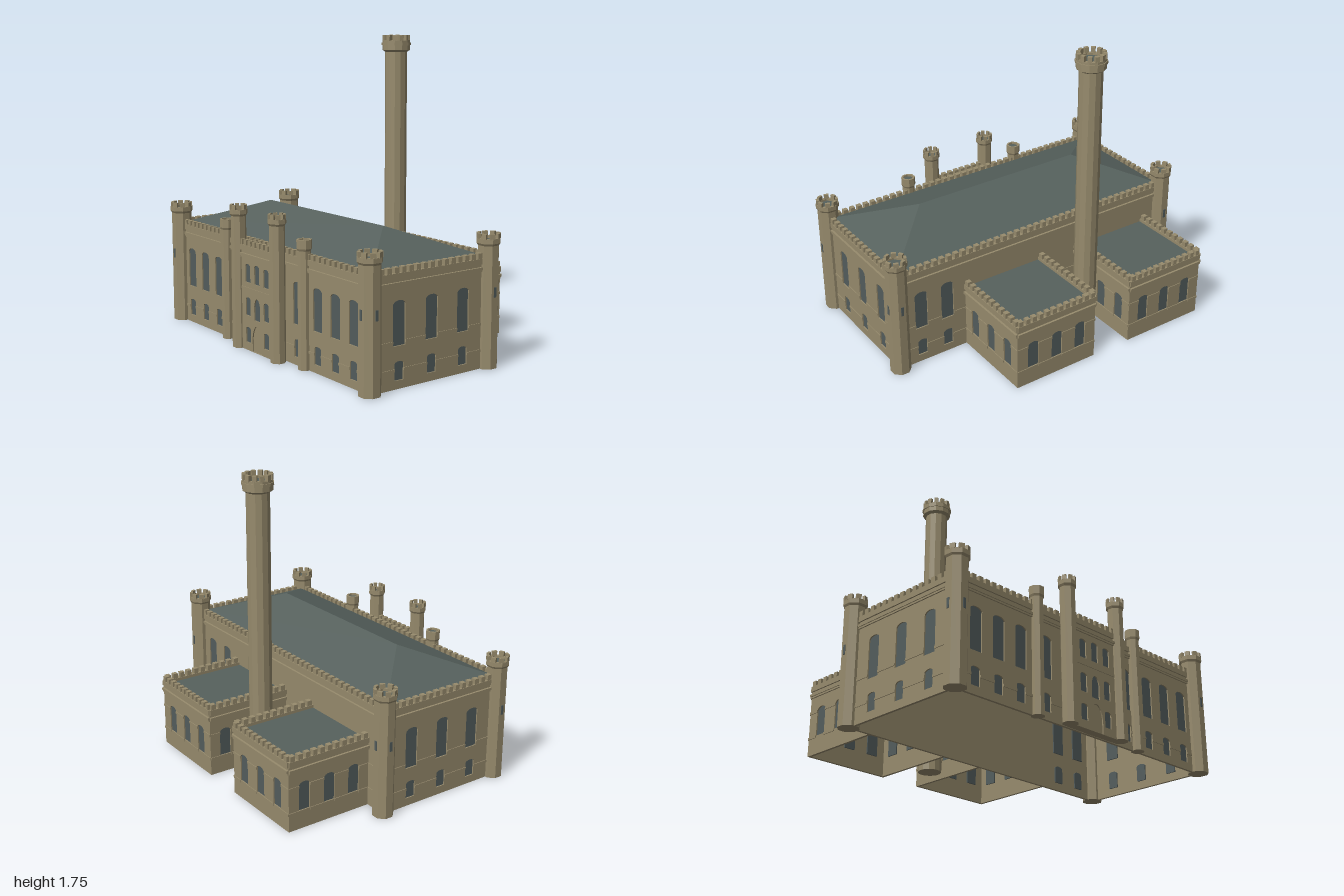
import * as THREE from 'three';

const stone = new THREE.MeshStandardMaterial({ color: 0x978b6d, flatShading: true });
stone.name = 'stone';
const slate = new THREE.MeshStandardMaterial({ color: 0x56615d, flatShading: true, side: THREE.DoubleSide });
slate.name = 'slate';
const glass = new THREE.MeshStandardMaterial({ color: 0x535d5d, flatShading: true });
glass.name = 'window glass';

function add(parent, name, geometry, material, x = 0, y = 0, z = 0) {
  const mesh = new THREE.Mesh(geometry, material);
  mesh.name = name;
  mesh.position.set(x, y, z);
  parent.add(mesh);
  return mesh;
}

function box(parent, name, material, w, h, d, x, y, z) {
  return add(parent, name, new THREE.BoxGeometry(w, h, d), material, x, y, z);
}

// Outline of an opening with an arched head
function archOutline(target, { x, y0, y1, w, rise }) {
  const h = w / 2, spring = y1 - rise;
  target.moveTo(x - h, y0);
  target.lineTo(x + h, y0);
  target.lineTo(x + h, spring);
  target.quadraticCurveTo(x + w * 0.36, y1, x, y1);
  target.quadraticCurveTo(x - w * 0.36, y1, x - h, spring);
  target.lineTo(x - h, y0);
  return target;
}

function extrude(shape, depth) {
  return new THREE.ExtrudeGeometry(shape, { depth, bevelEnabled: false, curveSegments: 5 });
}

// Wall facing local +z with openings, string courses, cornice and battlements
function wall(parent, name, { length, top, thick = 0.015, openings = [], bands = [0.1, 0.245] }) {
  const g = new THREE.Group();
  g.name = name;
  parent.add(g);
  const L = length / 2;
  const shape = new THREE.Shape();
  shape.moveTo(-L, 0);
  shape.lineTo(L, 0);
  shape.lineTo(L, top);
  shape.lineTo(-L, top);
  shape.closePath();
  for (const o of openings) shape.holes.push(archOutline(new THREE.Path(), o));
  add(g, 'masonry', extrude(shape, thick), stone, 0, 0, -thick);
  for (const o of openings) {
    add(g, o.door ? 'door' : 'window', extrude(archOutline(new THREE.Shape(), o), thick), o.door ? stone : glass, 0, 0, -thick - 0.007);
  }

  // String courses run between the openings they meet
  for (const y of bands) {
    const cuts = openings.filter(o => o.y0 < y + 0.008 && o.y1 > y - 0.008).sort((a, b) => a.x - b.x);
    let from = -L;
    for (const c of [...cuts, { x: L, w: 0 }]) {
      const to = c.x - c.w / 2;
      if (to - from > 0.01) box(g, 'stringCourse', stone, to - from, 0.014, 0.004, (from + to) / 2, y, 0.002);
      from = c.x + c.w / 2;
    }
  }

  box(g, 'cornice', stone, length, 0.014, 0.012, 0, top - 0.05, 0.006);
  box(g, 'corniceUnderside', stone, length, 0.01, 0.007, 0, top - 0.062, 0.0035);
  box(g, 'parapet', stone, length, 0.03, 0.032, 0, top - 0.012, -0.008);
  const n = Math.max(2, Math.round(length / 0.046)), pitch = length / n;
  for (let i = 0; i < n; i++) {
    box(g, 'merlon', stone, pitch * 0.6, 0.032, 0.028, -L + (i + 0.5) * pitch, top + 0.017, -0.008);
  }
  return g;
}

function place(g, x, z, turn) {
  g.position.set(x, 0, z);
  g.rotation.y = turn;
}

// Polygonal tower with a flared, hollow, battlemented crown; radii are across flats
function tower(parent, name, { x, z, r, R, crown, top, sides = 8, merlon = 0.026, collar = false }) {
  const g = new THREE.Group();
  g.name = name;
  g.position.set(x, 0, z);
  parent.add(g);
  const k = 1 / Math.cos(Math.PI / sides);
  const rim = top - merlon, inner = R * 0.72;
  const profile = [[0, 0], [r, 0], [r, crown], [R, crown + 0.012]];
  if (collar) profile.push([R, rim - 0.03], [R + 0.005, rim - 0.03], [R + 0.005, rim - 0.014], [R, rim - 0.014]);
  profile.push([R, rim], [inner, rim], [inner, rim - 0.014]);
  const points = profile.map(([a, b]) => new THREE.Vector2(a * k, b));
  add(g, 'towerBody', new THREE.LatheGeometry(points, sides, Math.PI / sides), stone);
  const cap = add(g, 'towerRoof', new THREE.CircleGeometry(inner * k, sides), slate, 0, rim - 0.012, 0);
  cap.rotation.set(-Math.PI / 2, 0, Math.PI / sides);
  if (!merlon) return g;
  const side = 2 * R * Math.tan(Math.PI / sides);
  for (let i = 0; i < sides; i++) {
    const a = (i + 0.5) * 2 * Math.PI / sides, d = R * 1.01 - R * 0.12;
    const m = box(g, 'merlon', stone, side * 0.55, merlon + 0.004, R * 0.26, Math.sin(a) * d, top - merlon / 2 - 0.002, Math.cos(a) * d);
    m.rotation.y = a;
  }
  return g;
}

const tall = x => ({ x, y0: 0.225, y1: 0.46, w: 0.08, rise: 0.018 });
const low = x => ({ x, y0: 0.045, y1: 0.145, w: 0.06, rise: 0.012 });
const pairs = xs => xs.flatMap(x => [tall(x), low(x)]);

export function createModel() {
  const model = new THREE.Group();
  model.name = 'castellatedPumpingStation';

  // Main hall walls
  const X = 0.945, front = 0.615, back = -0.185, midZ = (front + back) / 2, top = 0.597;
  const xs = [0.315, 0.5, 0.655, 0.81];
  place(wall(model, 'frontWall', { length: 2 * X, top, openings: pairs([...xs, ...xs.map(x => -x)]), bands: [0.1] }), 0, front, 0);
  place(wall(model, 'backWall', { length: 2 * X, top, openings: pairs([-0.62, -0.79]) }), 0, back, Math.PI);
  for (const s of [-1, 1]) {
    place(wall(model, 'endWall', { length: front - back, top, openings: pairs([-0.215, 0, 0.215]) }), s * X, midZ, s * Math.PI / 2);
  }

  // Hipped roof
  const ex = 0.92, ey = 0.61, z0 = back + 0.025, z1 = front - 0.025;
  const A = [-ex, ey, z1], B = [ex, ey, z1], C = [ex, ey, z0], D = [-ex, ey, z0];
  const P = [-0.545, 0.755, midZ], Q = [0.545, 0.755, midZ];
  const roof = new THREE.BufferGeometry();
  const corners = [A, B, Q, A, Q, P, C, D, P, C, P, Q, B, C, Q, D, A, P].flat();
  roof.setAttribute('position', new THREE.Float32BufferAttribute(corners, 3));
  roof.computeVertexNormals();
  add(model, 'hippedRoof', roof, slate);

  // Entrance bay
  const bay = [{ x: 0, y0: 0.002, y1: 0.155, w: 0.1, rise: 0.07, door: true }, { x: 0, y0: 0.185, y1: 0.31, w: 0.06, rise: 0.045 },
    { x: 0, y0: 0.39, y1: 0.5, w: 0.05, rise: 0.012 }];
  for (const x of [-0.092, 0.092]) {
    bay.push({ x, y0: 0.045, y1: 0.135, w: 0.05, rise: 0.012 }, { x, y0: 0.2, y1: 0.305, w: 0.05, rise: 0.012 }, { x, y0: 0.39, y1: 0.495, w: 0.05, rise: 0.012 });
  }
  place(wall(model, 'entranceBay', { length: 0.35, top, thick: 0.05, openings: bay, bands: [0.355] }), 0, 0.67, 0);

  // Towers and turrets
  for (const s of [-1, 1]) {
    for (const [z, out] of [[0.612, 1], [-0.183, -1]]) {
      const t = tower(model, 'cornerTower', { x: s * 0.938, z, r: 0.055, R: 0.062, crown: 0.668, top: 0.732 });
      box(t, 'arrowSlit', glass, 0.016, 0.055, 0.004, 0, 0.418, out * 0.0555);
      box(t, 'arrowSlit', glass, 0.004, 0.055, 0.016, s * 0.0555, 0.418, 0);
    }
    tower(model, 'entranceTower', { x: s * 0.195, z: 0.662, r: 0.04, R: 0.047, crown: 0.755, top: 0.818 });
    tower(model, 'turret', { x: s * 0.388, z: 0.62, r: 0.034, R: 0.039, crown: 0.645, top: 0.705, merlon: 0 });
  }

  // Chimney
  tower(model, 'chimney', { x: -0.157, z: -0.442, r: 0.064, R: 0.081, crown: 1.645, top: 1.745, sides: 12, merlon: 0.03, collar: true });

  // Rear wings
  const wx = [-0.262, -0.0, 0.262].map(v => v * 0.61);
  const wingWindows = wx.map(x => ({ x, y0: 0.105, y1: 0.27, w: 0.07, rise: 0.018 }));
  for (const x of [-0.545, 0.235]) {
    const wing = new THREE.Group();
    wing.name = 'rearWing';
    wing.position.x = x;
    model.add(wing);
    const w = 0.53, end = -0.702, depth = back - end;
    const spec = { top: 0.4, openings: wingWindows };
    place(wall(wing, 'wingBackWall', { ...spec, length: w }), 0, end, Math.PI);
    for (const s of [-1, 1]) {
      place(wall(wing, 'wingSideWall', { ...spec, length: depth }), s * w / 2, (back + end) / 2, s * Math.PI / 2);
    }
    box(wing, 'wingRoof', slate, w - 0.03, 0.008, depth - 0.015, 0, 0.382, (back + end) / 2 + 0.007);
  }
  return model;
}
